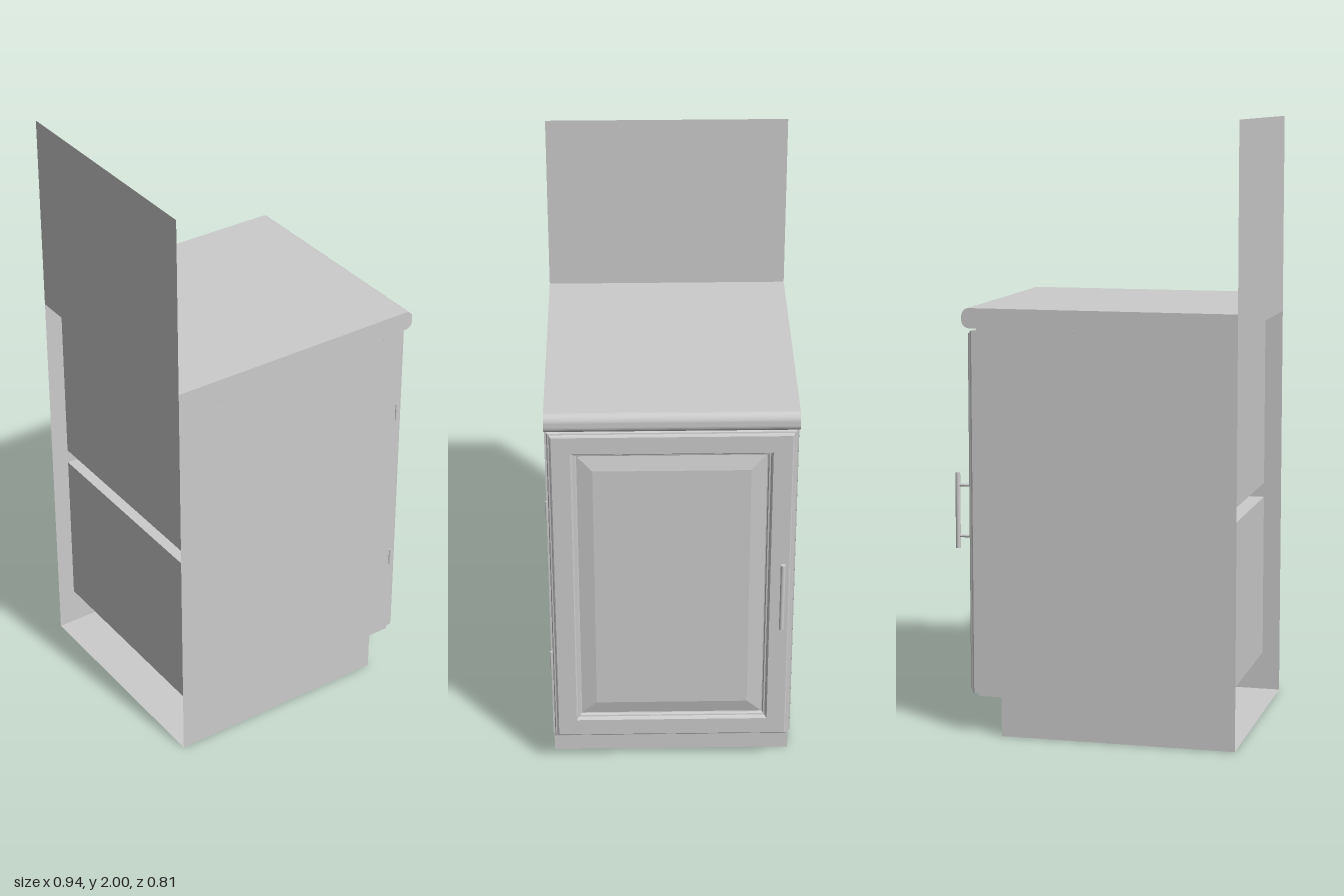
import * as THREE from 'three';

const grey = new THREE.MeshStandardMaterial({ color: 0xcccccc });
const sheet = new THREE.MeshStandardMaterial({ color: 0xcccccc, side: THREE.DoubleSide });
const flat = new THREE.MeshStandardMaterial({ color: 0xcccccc, flatShading: true });

const W = 0.4; // half width along z
const BACK = -0.47, FRONT = 0.38, KICK = 0.305, FLOOR = 0.13;

function add(parent, name, geometry, material = grey, x = 0, y = 0, z = 0) {
  const mesh = new THREE.Mesh(geometry, material);
  mesh.name = name;
  mesh.position.set(x, y, z);
  parent.add(mesh);
  return mesh;
}

// upright sheet across the width at a given x
function wall(parent, name, x, y0, y1) {
  const g = new THREE.PlaneGeometry(2 * W, y1 - y0).rotateY(Math.PI / 2);
  return add(parent, name, g, sheet, x, (y0 + y1) / 2);
}

// level sheet across the width at a given y
function level(parent, name, y, x0, x1) {
  const g = new THREE.PlaneGeometry(x1 - x0, 2 * W).rotateX(-Math.PI / 2);
  return add(parent, name, g, sheet, (x0 + x1) / 2, y);
}

// nested rectangles [inset, x] joined into a moulded panel facing +x
function mouldedPanel(halfZ, y0, y1, steps) {
  const pos = [], index = [];
  for (const [inset, x] of steps) {
    const h = halfZ - inset, b = y0 + inset, t = y1 - inset;
    pos.push(x, b, h, x, b, -h, x, t, -h, x, t, h);
  }
  for (let s = 0; s < steps.length - 1; s++) {
    for (let k = 0; k < 4; k++) {
      const a = s * 4 + k, b = s * 4 + (k + 1) % 4;
      index.push(a, b, b + 4, a, b + 4, a + 4);
    }
  }
  const e = (steps.length - 1) * 4;
  index.push(e, e + 1, e + 2, e, e + 2, e + 3); // centre field
  index.push(0, 2, 1, 0, 3, 2); // back of the panel
  const g = new THREE.BufferGeometry();
  g.setAttribute('position', new THREE.Float32BufferAttribute(pos, 3));
  g.setIndex(index);
  const out = g.toNonIndexed();
  out.computeVertexNormals();
  return out;
}

export function createModel() {
  const root = new THREE.Group();
  root.name = 'baseCabinet';
  const cabinet = new THREE.Group();
  cabinet.name = 'cabinet';
  cabinet.position.z = -0.003;
  root.add(cabinet);

  // side panels with the toe notch, and their screw heads
  const side = new THREE.Shape();
  side.moveTo(BACK, 0);
  side.lineTo(KICK, 0);
  side.lineTo(KICK, FLOOR);
  side.lineTo(FRONT, FLOOR);
  side.lineTo(FRONT, 1.4);
  side.lineTo(BACK, 1.4);
  for (const s of [1, -1]) {
    add(cabinet, s > 0 ? 'hingeSide' : 'handleSide', new THREE.ShapeGeometry(side), sheet, 0, 0, s * W);
    for (const x of [-0.42, -0.32, -0.05, 0.06, 0.32]) {
      const head = new THREE.CylinderGeometry(0.004, 0.004, 0.002, 10).rotateX(Math.PI / 2);
      add(cabinet, 'screwHead', head, grey, x, 1.33, s * W);
    }
  }

  // base, toe kick, floor, shelf and the two recessed back panels
  level(cabinet, 'base', 0, BACK, KICK);
  wall(cabinet, 'toeKick', KICK, 0, FLOOR);
  level(cabinet, 'floor', FLOOR, -0.41, FRONT);
  level(cabinet, 'shelf', 0.685, -0.41, 0.36);
  wall(cabinet, 'lowerBackPanel', -0.41, FLOOR, 0.685);
  wall(cabinet, 'upperBackPanel', -0.41, 0.735, 1.335);
  wall(cabinet, 'frontRail', FRONT - 0.002, FLOOR, 1.336);

  // worktop with rounded nose
  const top = new THREE.Shape();
  const r = 0.026, yb = 1.335, xf = 0.43;
  top.moveTo(BACK, yb);
  top.lineTo(xf - r, yb);
  top.absarc(xf - r, yb + r, r, -Math.PI / 2, 0, false);
  top.absarc(xf - r, 1.4 - r, r, 0, Math.PI / 2, false);
  top.lineTo(BACK, 1.4);
  const topGeo = new THREE.ExtrudeGeometry(top, { depth: 2 * W, bevelEnabled: false, curveSegments: 8 });
  add(cabinet, 'worktop', topGeo, grey, 0, 0, -W);

  // splashback
  wall(cabinet, 'splashback', BACK, 1.4, 2);

  // door with moulded frame and raised field
  const steps = [
    [0, 0.38], [0, 0.4], [0.003, 0.405], [0.008, 0.406], [0.01, 0.412], [0.014, 0.415],
    [0.074, 0.415], [0.078, 0.411], [0.081, 0.404], [0.086, 0.403], [0.089, 0.396],
    [0.092, 0.395], [0.142, 0.407],
  ];
  add(cabinet, 'door', mouldedPanel(0.393, 0.135, 1.328, steps), flat);

  // bar handle on two posts
  const handle = new THREE.Group();
  handle.name = 'handle';
  handle.position.set(0.461, 0.735, -0.356);
  cabinet.add(handle);
  add(handle, 'handleBar', new THREE.CylinderGeometry(0.008, 0.008, 0.25, 20));
  for (const s of [1, -1]) {
    const post = new THREE.CylinderGeometry(0.005, 0.005, 0.05, 14).rotateZ(Math.PI / 2);
    add(handle, 'handlePost', post, grey, -0.024, s * 0.084, 0);
  }

  // hinge knuckles
  for (const y of [0.44, 1.03]) {
    add(cabinet, 'hinge', new THREE.CylinderGeometry(0.004, 0.004, 0.06, 12), grey, 0.381, y, W);
  }
  return root;
}
